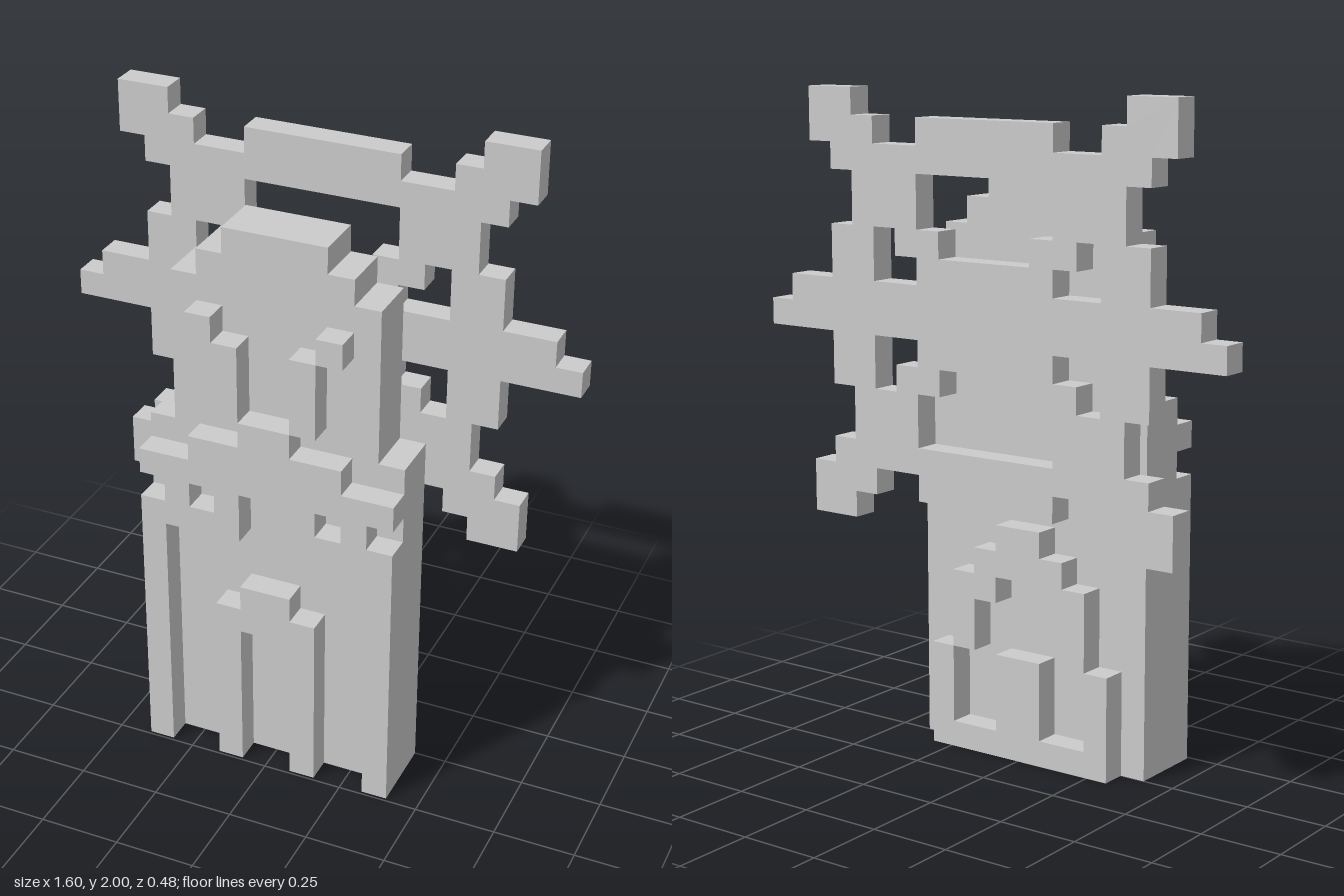
import * as THREE from 'three';

const U = 0.08; // one block
const material = new THREE.MeshStandardMaterial({ color: 0xcccccc, flatShading: true });

const flipX = pts => pts.map(([x, y]) => [-x, y]);
// Mirror a half outline that runs from the bottom centre to the top centre.
const whole = half => [...half, ...flipX(half).reverse().filter(([x]) => x !== 0)];
const toPoints = pts => pts.map(([x, y]) => new THREE.Vector2(x * U, y * U));

// Extrude an outline (in blocks) between two depths.
function slab(name, outline, z0, z1, holes = []) {
  const shape = new THREE.Shape(toPoints(outline));
  shape.holes = holes.map(h => new THREE.Path(toPoints(h)));
  const geometry = new THREE.ExtrudeGeometry(shape, { depth: (z1 - z0) * U, bevelEnabled: false });
  geometry.translate(0, 0, z0 * U);
  const mesh = new THREE.Mesh(geometry, material);
  mesh.name = name;
  return mesh;
}

const rect = (x0, y0, x1, y1) => [[x0, y0], [x1, y0], [x1, y1], [x0, y1]];

export function createModel() {
  const model = new THREE.Group();
  model.name = 'windmill';

  // Tower with stepped roof
  model.add(slab('tower', whole([
    [0, 0], [5, 0], [5, 14], [4, 14], [4, 20], [3, 20], [3, 21], [2, 21], [2, 22], [0, 22],
  ]), 0, 2));

  // Raised facade with corner pillars and small square recesses
  const recess = rect(2, 11, 3, 12);
  model.add(slab('facade', whole([
    [0, 12], [1, 12], [1, 10], [4, 10], [4, 0], [5, 0], [5, 11], [4, 11], [4, 12],
    [5, 12], [5, 13], [3, 13], [3, 14], [1, 14], [1, 15], [0, 15],
  ]), 2, 3, [recess, flipX(recess)]));

  // Front door surround
  model.add(slab('frontDoorFrame', whole([
    [0, 6], [1, 6], [1, 0], [2, 0], [2, 7], [1, 7], [1, 8], [0, 8],
  ]), 2, 3));

  // Upper trim on both sides
  for (const [side, flip] of [['left', p => p], ['right', flipX]]) {
    model.add(slab(side + 'UpperBar', flip(rect(1, 15, 2, 18)), 2, 3));
    model.add(slab(side + 'UpperBlock', flip(rect(2, 18, 3, 19)), 2, 3));
  }

  // Back arch with a door inside
  model.add(slab('backArch', whole([
    [0, 0], [4, 0], [4, 4], [3, 4], [3, 7], [2, 7], [2, 8], [1, 8], [1, 9], [0, 9],
  ]), -1, 0, [whole([
    [0, 4], [1, 4], [1, 1], [2.999, 1], [2.999, 4], [2, 4], [2, 6], [1, 6], [1, 7], [0, 7],
  ])]));

  // Axle
  model.add(slab('axle', rect(-1, 16, 1, 18), -2, 0));

  // Wheel with stepped rim and spokes
  const flipY = pts => pts.map(([x, y]) => [x, 34 - y]);
  const endHole = whole([[0, 19], [2, 19], [2, 20], [3, 20], [3, 22], [0, 22]]);
  const sideHole = [[3, 18], [5, 18], [5, 20], [4, 20], [4, 19], [3, 19]];
  model.add(slab('wheel', whole([
    [0, 10], [3, 10], [3, 11], [5, 11], [5, 10], [6, 10], [6, 9], [8, 9], [8, 11], [7, 11],
    [7, 12], [6, 12], [6, 14], [7, 14], [7, 16], [10, 16], [10, 17], [9, 17], [9, 18], [7, 18],
    [7, 20], [6, 20], [6, 22], [7, 22], [7, 23], [8, 23], [8, 25], [6, 25], [6, 24], [5, 24],
    [5, 23], [3, 23], [3, 24], [0, 24],
  ]), -3, -2, [
    endHole, flipY(endHole),
    sideHole, flipX(sideHole), flipY(sideHole), flipX(flipY(sideHole)),
  ]));

  return model;
}
